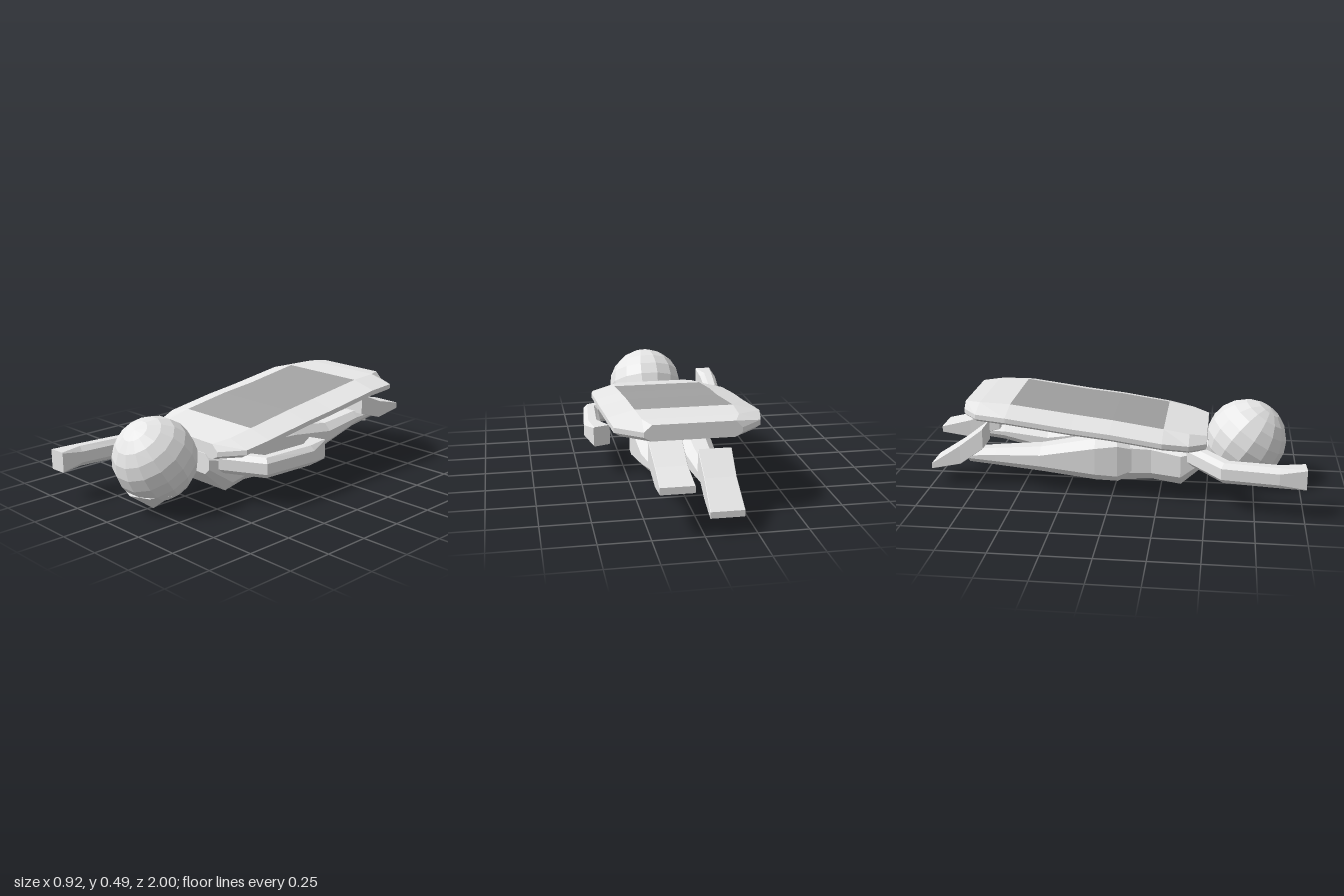
import * as THREE from 'three';

const lightGrey = new THREE.MeshStandardMaterial({ color: 0xf2f2f2, flatShading: true });
lightGrey.name = 'light grey';
const darkGrey = new THREE.MeshStandardMaterial({ color: 0xa2a2a2, flatShading: true });
darkGrey.name = 'dark grey';

const CX = 0.013; // body centre line

// Joins rings of points (counter-clockwise about the travel direction) into a faceted solid;
// keep(i, j) chooses which side faces to make
function loft(name, rings, material = lightGrey, keep = () => true, caps = true) {
  const pos = [];
  const tri = (a, b, c) => pos.push(...a, ...b, ...c);
  const n = rings[0].length;
  for (let i = 0; i < rings.length - 1; i++) {
    for (let j = 0; j < n; j++) {
      if (!keep(i, j)) continue;
      const k = (j + 1) % n;
      tri(rings[i][j], rings[i][k], rings[i + 1][k]);
      tri(rings[i][j], rings[i + 1][k], rings[i + 1][j]);
    }
  }
  if (caps) {
    const first = rings[0], last = rings[rings.length - 1];
    for (let s = 1; s < n - 1; s++) {
      const a = (2 + s) % n, b = (3 + s) % n;
      tri(first[2], first[b], first[a]);
      tri(last[2], last[a], last[b]);
    }
  }
  const geo = new THREE.BufferGeometry();
  geo.setAttribute('position', new THREE.Float32BufferAttribute(pos, 3));
  geo.computeVertexNormals();
  const mesh = new THREE.Mesh(geo, material);
  mesh.name = name;
  return mesh;
}

// Chamfered rectangle outline: half width w, half height h, chamfer c
const octagon = (w, h, c) => [
  [w, -h + c], [w, h - c], [w - c, h], [-w + c, h],
  [-w, h - c], [-w, -h + c], [-w + c, -h], [w - c, -h],
];

// Upright ring at depth z, between heights y0 and y1
const ring = (x, z, w, y0, y1, c) =>
  octagon(w, (y1 - y0) / 2, c).map(([u, v]) => [x + u, (y0 + y1) / 2 + v, z]);

// Arm swept along a level path of [x, z] points, ending in a square fist
function arm(name, path) {
  const y = 0.22;
  const rings = path.map((p, i) => {
    const a = path[Math.max(i - 1, 0)], b = path[Math.min(i + 1, path.length - 1)];
    const len = Math.hypot(b[0] - a[0], b[1] - a[1]);
    const tx = (b[0] - a[0]) / len, tz = (b[1] - a[1]) / len;
    const chamfer = i === path.length - 1 ? 0.004 : 0.025;
    return octagon(0.047, 0.054, chamfer).map(([u, v]) => [p[0] + u * tz, y + v, p[1] - u * tx]);
  });
  return loft(name, rings);
}

// Leg and its tilted foot; stations are [z, halfWidth, bottom, top] from back to front
function leg(side, x, legStations, footStations) {
  const g = new THREE.Group();
  g.name = side + 'Leg';
  g.add(loft(side + 'Shin', legStations.map(([z, w, a, b]) => ring(x, z, w, a, b, w * 0.5))));
  g.add(loft(side + 'Foot', footStations.map(([z, w, a, b]) => ring(x, z, w, a, b, 0.002))));
  return g;
}

function head() {
  const geo = new THREE.SphereGeometry(0.217, 14, 10);
  geo.rotateX(0.6);
  const mesh = new THREE.Mesh(geo, lightGrey);
  mesh.name = 'head';
  mesh.position.set(0.016, 0.265, 0.703);
  return mesh;
}

// Small wedge that closes the jaw into a point
function chin() {
  const mesh = new THREE.Mesh(new THREE.ConeGeometry(0.145, 0.105, 8), lightGrey);
  mesh.name = 'chin';
  mesh.rotation.x = Math.PI;
  mesh.position.set(0.016, 0.0575, 0.723);
  return mesh;
}

function cape() {
  // z, left edge x, right edge x, half width of the raised middle, top height
  const stations = [
    [-0.79, 0.25, -0.22, 0.2, 0.49], [-0.705, 0.382, -0.33, 0.235, 0.495],
    [-0.54, 0.393, -0.368, 0.245, 0.492], [-0.2, 0.393, -0.368, 0.24, 0.447],
    [0, 0.393, -0.368, 0.245, 0.425], [0.27, 0.39, -0.367, 0.245, 0.385],
    [0.405, 0.37, -0.32, 0.235, 0.36], [0.495, 0.25, -0.22, 0.2, 0.342],
  ];
  // domed top, short upright rim and a bevel down to the flat lining
  const rings = stations.map(([z, l, r, m, y]) => [
    [l, y - 0.06], [l, y - 0.035], [CX + m, y], [CX - m, y], [r, y - 0.035], [r, y - 0.06],
    [r + 0.035, y - 0.08], [l - 0.035, y - 0.08],
  ].map(([u, v]) => [u, v, z]));
  const inPanel = (i, j) => j === 2 && i >= 2 && i <= 4;
  const g = new THREE.Group();
  g.name = 'cape';
  g.add(loft('capeCloth', rings, lightGrey, (i, j) => !inPanel(i, j)));
  g.add(loft('capePanel', rings, darkGrey, inPanel, false));
  return g;
}

export function createModel() {
  const model = new THREE.Group();
  model.name = 'flyingFigure';

  // torso, hips to shoulders
  const torso = [
    [-0.12, 0.14, 0.11, 0.28, 0.04], [0, 0.18, 0.042, 0.31, 0.06], [0.2, 0.17, 0.058, 0.29, 0.05],
    [0.36, 0.205, 0.043, 0.28, 0.06], [0.5, 0.18, 0.17, 0.28, 0.03],
  ];
  model.add(loft('torso', torso.map(([z, w, a, b, c]) => ring(CX, z, w, a, b, c))));

  model.add(head(), chin());
  model.add(cape());

  // right arm reaches forward, left arm bends back
  model.add(arm('rightArm', [[-0.13, 0.41], [-0.38, 0.6], [-0.415, 0.87], [-0.408, 1]]));
  model.add(arm('leftArm', [[0.13, 0.43], [0.395, 0.3], [0.413, 0.01], [0.375, -0.105]]));

  model.add(leg('left', 0.13,
    [[-0.82, 0.055, 0.2, 0.26], [-0.65, 0.062, 0.18, 0.265], [-0.4, 0.078, 0.12, 0.25],
      [-0.1, 0.088, 0.06, 0.3], [0.02, 0.08, 0.05, 0.3], [0.12, 0.05, 0.1, 0.26]],
    [[-1, 0.083, 0.225, 0.26], [-0.84, 0.078, 0.2, 0.3], [-0.67, 0.083, 0.255, 0.37]]));
  model.add(leg('right', -0.105,
    [[-0.8, 0.055, 0.125, 0.195], [-0.65, 0.062, 0.112, 0.21], [-0.4, 0.078, 0.09, 0.23],
      [-0.1, 0.088, 0.055, 0.29], [0.02, 0.08, 0.05, 0.3], [0.12, 0.05, 0.1, 0.26]],
    [[-1, 0.083, 0.093, 0.125], [-0.84, 0.078, 0.125, 0.23], [-0.71, 0.083, 0.22, 0.33]]));

  return model;
}
